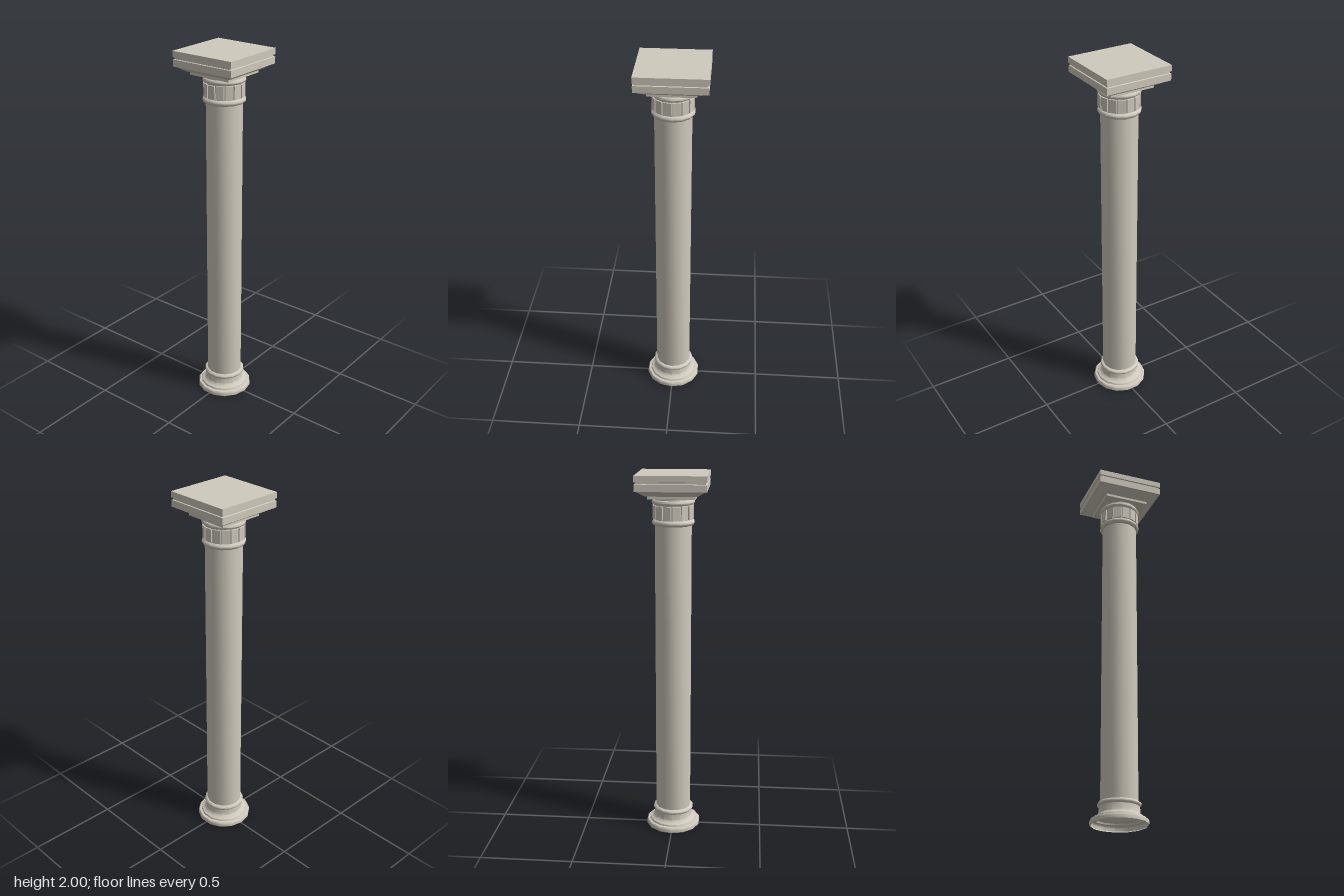
import * as THREE from 'three';
import { toCreasedNormals } from 'three/addons/utils/BufferGeometryUtils.js';

const SIDES = 14;

export function createModel() {
  const model = new THREE.Group();
  model.name = 'column';
  const stone = new THREE.MeshStandardMaterial({ color: 0xd0cabd, side: THREE.DoubleSide });
  stone.name = 'pale stone';

  const add = (name, geometry, parent = model) => {
    const mesh = new THREE.Mesh(geometry, stone);
    mesh.name = name;
    parent.add(mesh);
    return mesh;
  };

  // Turned part from [radius, y] pairs, with a corner on the x axis
  const turned = (name, profile) => {
    const points = profile.map(([r, y]) => new THREE.Vector2(r, y));
    const lathe = new THREE.LatheGeometry(points, SIDES, Math.PI / 2);
    return add(name, toCreasedNormals(lathe, 0.65));
  };

  // Square part from [half width, y] pairs
  const squared = (name, profile) => {
    const points = profile.map(([w, y]) => new THREE.Vector2(w * Math.SQRT2, y));
    const lathe = new THREE.LatheGeometry(points, 4, Math.PI / 4);
    return add(name, toCreasedNormals(lathe, 0.2));
  };

  // Rounded moulding between two heights
  const ring = (name, inner, outer, y0, y1) => {
    const profile = [[inner, y0]];
    for (let i = 0; i <= 6; i++) {
      const a = -Math.PI / 2 + (Math.PI * i) / 6;
      const h = (y1 - y0) / 2;
      profile.push([outer - h + Math.cos(a) * h, (y0 + y1) / 2 + Math.sin(a) * h]);
    }
    profile.push([inner, y1]);
    return turned(name, profile);
  };

  // Base, open underneath
  turned('base', [
    [0.146, 0], [0.152, 0.006], [0.152, 0.024], [0.147, 0.031], [0.134, 0.033],
    [0.131, 0.042], [0.121, 0.046], [0.112, 0.052], [0.107, 0.06], [0.106, 0.095],
  ]);
  ring('baseRing', 0.097, 0.114, 0.093, 0.12);

  // Shaft
  turned('shaft', [[0.098, 0.1], [0.098, 1.75]]);

  // Capital: neck between two rings
  ring('lowerRing', 0.097, 0.114, 1.73, 1.762);
  turned('neck', [[0.102, 1.75], [0.102, 1.85]]);
  ring('upperRing', 0.1, 0.114, 1.838, 1.866);
  turned('collar', [[0.104, 1.86], [0.104, 1.872], [0.109, 1.876], [0.109, 1.885]]);

  // One raised panel on each side of the neck
  const panels = new THREE.Group();
  panels.name = 'neckPanels';
  model.add(panels);
  const apothem = 0.102 * Math.cos(Math.PI / SIDES);
  for (let i = 0; i < SIDES; i++) {
    const a = Math.PI / 2 + ((i + 0.5) / SIDES) * Math.PI * 2;
    const panel = add('neckPanel', new THREE.BoxGeometry(0.04, 0.07, 0.012), panels);
    panel.position.set(Math.sin(a) * (apothem + 0.002), 1.8, Math.cos(a) * (apothem + 0.002));
    panel.rotation.y = a;
  }

  // Square slab flaring out to the top
  squared('abacus', [
    [0, 1.876], [0.124, 1.876], [0.124, 1.89], [0.136, 1.893], [0.172, 1.917],
    [0.184, 1.92], [0.184, 1.956], [0.178, 1.958], [0.178, 1.966],
    [0.185, 1.968], [0.185, 2], [0, 2],
  ]);

  return model;
}
